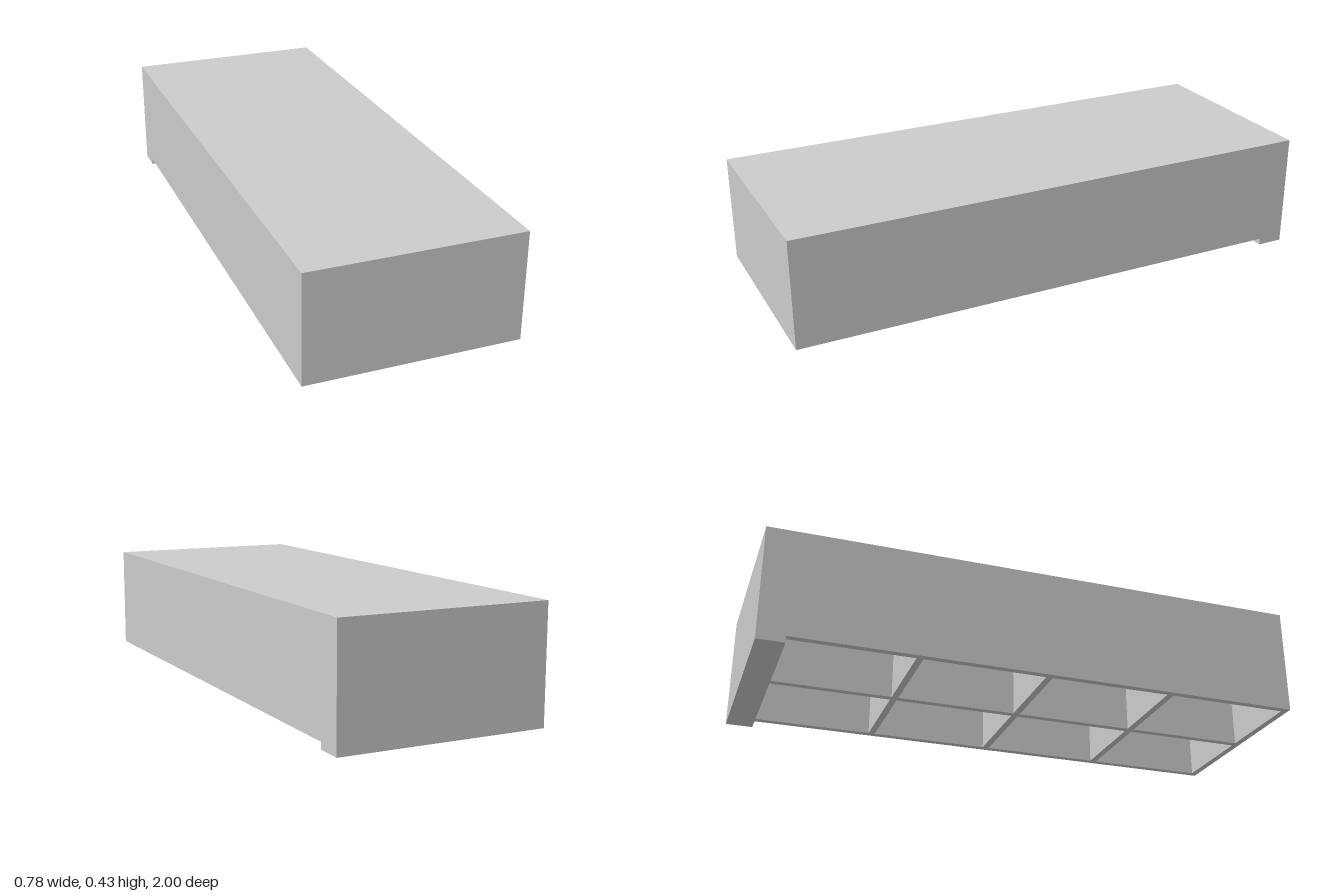
import * as THREE from 'three';

const W = 0.776, L = 2, H = 0.427;    // overall width, length, height
const WALL = 0.025;                   // wall, rib and top thickness
const LIP_H = 0.025, LIP_D = 0.1;     // lip under the back end
const COLS = 2, ROWS = 4;             // open cells on the underside

function rect(target, x0, y0, x1, y1) {
  target.moveTo(x0, y0);
  target.lineTo(x1, y0);
  target.lineTo(x1, y1);
  target.lineTo(x0, y1);
  target.closePath();
  return target;
}

export function createModel() {
  const group = new THREE.Group();
  group.name = 'ribbedBlock';
  const material = new THREE.MeshStandardMaterial({ color: 0xcccccc, flatShading: true });
  const add = (name, geometry, x, y, z) => {
    const mesh = new THREE.Mesh(geometry, material);
    mesh.name = name;
    mesh.position.set(x, y, z);
    group.add(mesh);
  };

  // Outer walls and ribs: a plan outline with a grid of holes (plan y is -z)
  const plan = rect(new THREE.Shape(), -W / 2, -L / 2, W / 2, L / 2);
  const cellW = (W - WALL * (COLS + 1)) / COLS;
  const cellL = (L - LIP_D - WALL * ROWS) / ROWS;
  for (let c = 0; c < COLS; c++) {
    for (let r = 0; r < ROWS; r++) {
      const x = -W / 2 + WALL + c * (cellW + WALL);
      const y = -L / 2 + WALL + r * (cellL + WALL);
      plan.holes.push(rect(new THREE.Path(), x, y, x + cellW, y + cellL));
    }
  }
  const walls = new THREE.ExtrudeGeometry(plan, { depth: H - LIP_H - WALL, bevelEnabled: false });
  walls.rotateX(-Math.PI / 2);
  add('wallsAndRibs', walls, 0, LIP_H, 0);

  // Closed top
  add('topPlate', new THREE.BoxGeometry(W, WALL, L), 0, H - WALL / 2, 0);

  // Low lip across the back end
  add('backLip', new THREE.BoxGeometry(W, LIP_H, LIP_D), 0, LIP_H / 2, -L / 2 + LIP_D / 2);

  return group;
}
